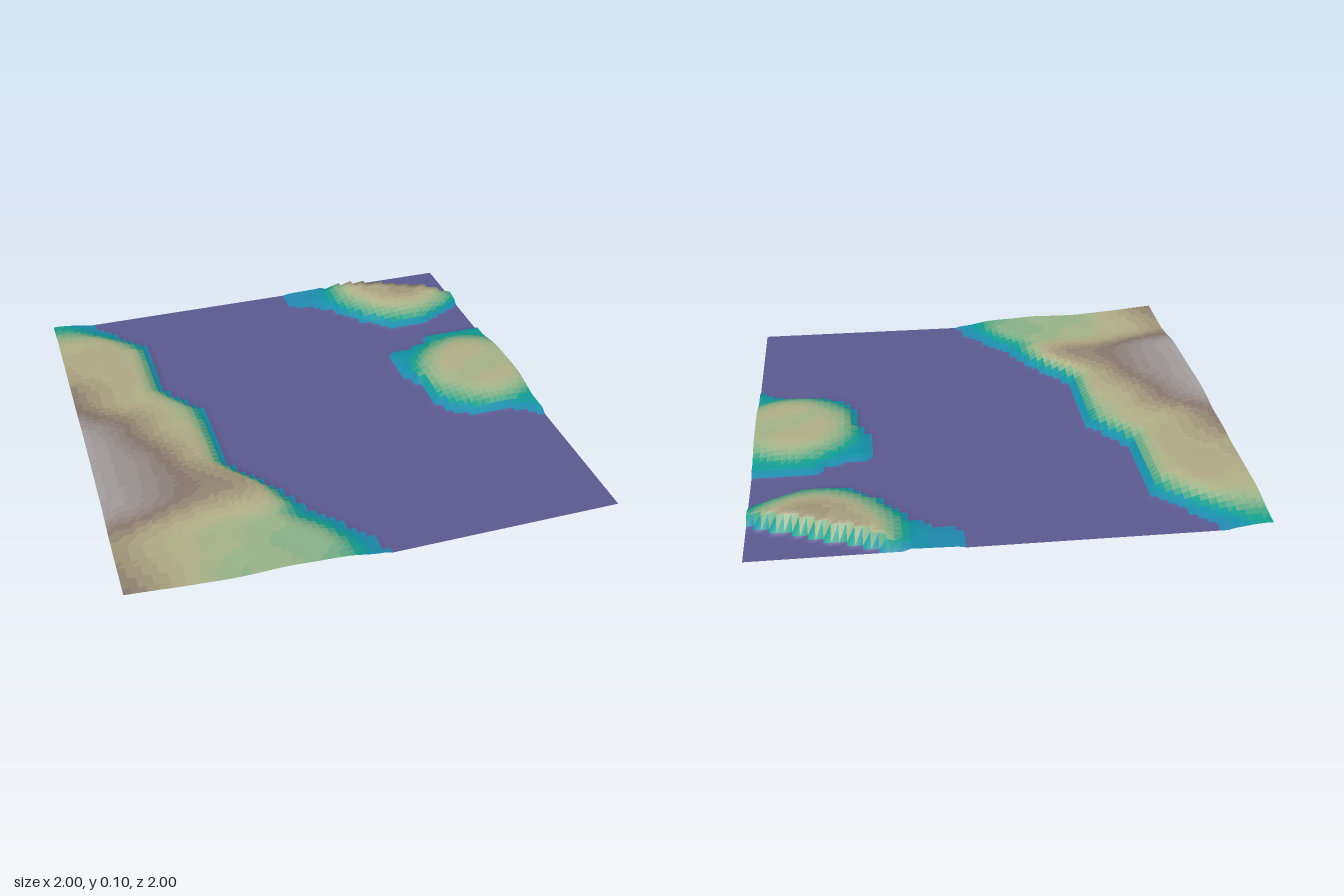
import * as THREE from 'three';

const CELLS = 68;
const { clamp, smoothstep, lerp } = THREE.MathUtils;

// Coast of the western mainland as [z, x]
const COAST = [[-1, -0.83], [-0.9, -0.77], [-0.8, -0.69], [-0.7, -0.59], [-0.3, -0.59],
  [-0.24, -0.55], [-0.12, -0.46], [0, -0.45], [0.3, -0.45], [0.38, -0.4], [0.5, -0.3],
  [0.6, -0.25], [0.7, -0.2], [0.8, -0.11], [0.9, -0.03], [1, 0.01]];

// Mainland relief in hundredths: rows z = -1..1 by 0.25, columns x = -1..0 by 0.2
const RELIEF = [
  [2.2, 2.0, 3.0, 3, 3, 3],
  [5.5, 5.5, 4.5, 4, 4, 3],
  [6.4, 6.0, 5.0, 4, 4, 3],
  [7.4, 5.9, 5.0, 4, 4, 3],
  [9.6, 7.2, 5.4, 4.8, 4, 3],
  [9.7, 8.8, 6.2, 5.2, 4, 3],
  [9.4, 8.5, 7.3, 6.4, 4.2, 3],
  [6.6, 5.6, 4.8, 4.6, 4.1, 3],
  [7.8, 5.8, 4.6, 4.4, 3.8, 2.4]];

// Islands: outline as [x, z], dome centre, height and radii of plateau and foot
const ISLANDS = [
  { outline: [[1.1, -0.41], [0.75, -0.41], [0.69, -0.33], [0.53, -0.31], [0.5, -0.15], [0.56, -0.05],
      [0.56, 0.06], [0.63, 0.21], [0.75, 0.25], [0.9, 0.26], [1.1, 0.42]],
    x: 0.84, z: -0.05, height: 0.053, inner: 0.14, outer: 0.42 },
  { outline: [[0.18, -1.1], [0.18, -0.89], [0.3, -0.87], [0.4, -0.78], [0.49, -0.65], [0.6, -0.56],
      [0.7, -0.54], [0.8, -0.55], [0.9, -0.6], [1.1, -0.7]],
    x: 0.74, z: -0.9, height: 0.066, inner: 0.14, outer: 0.47 },
];

// Land colours by height
const RAMP = [[0.004, 0x2487b0], [0.015, 0x0f93a6], [0.025, 0x17a187], [0.038, 0x7cb088],
  [0.046, 0x9cb58a], [0.056, 0xb5b089], [0.066, 0xa39a7c], [0.075, 0x87776c], [0.09, 0x9d9594], [0.1, 0xaaa5a6]];
const BANDS = 24, TOP = 0.104;

function ramp(stops, t, mix) {
  let i = 0;
  while (i < stops.length - 2 && t > stops[i + 1][0]) i++;
  const [a, b] = [stops[i], stops[i + 1]];
  return mix(a[1], b[1], clamp((t - a[0]) / (b[0] - a[0]), 0, 1));
}

const mixColor = (a, b, t) => new THREE.Color(a).lerp(new THREE.Color(b), t);

const ripple = (x, z) => 0.0014 * Math.sin(13 * x + 5 * z + 2 * Math.sin(7 * z))
  + 0.0012 * Math.sin(17 * z - 9 * x + 2 * Math.sin(8 * x));

function inside(outline, x, z) {
  let hit = false;
  outline.forEach(([ax, az], i) => {
    const [bx, bz] = outline[(i + 1) % outline.length];
    if ((az > z) !== (bz > z) && x < ax + (bx - ax) * (z - az) / (bz - az)) hit = !hit;
  });
  return hit;
}

function mainlandHeight(x, z) {
  const shore = ramp(COAST, z, lerp) - x;
  if (shore <= 0) return 0;
  const row = (z + 1) * 4, col = clamp((x + 1) * 5, 0, 5);
  const r = Math.min(Math.floor(row), 7), c = Math.min(Math.floor(col), 4);
  const u = smoothstep(row - r, 0, 1), v = col - c;
  const h = lerp(lerp(RELIEF[r][c], RELIEF[r][c + 1], v), lerp(RELIEF[r + 1][c], RELIEF[r + 1][c + 1], v), u) / 100;
  // Cliffs in the middle, a softer beach at both ends
  const beach = Math.abs(z) > 0.65 ? 0.16 : 0.09;
  return h * (0.35 + 0.65 * smoothstep(shore, 0, beach)) + ripple(x, z) * smoothstep(shore, 0, 0.1);
}

function islandHeight(island, x, z) {
  if (!inside(island.outline, x, z)) return 0;
  const d = Math.hypot(x - island.x, z - island.z);
  const dome = island.height * (1 - smoothstep(d, island.inner, island.outer));
  return Math.max(0.006 + 0.012 * clamp((x - 0.2) / 0.5, 0, 1), dome + ripple(x, z));
}

const height = (x, z) => Math.max(0, mainlandHeight(x, z), ...ISLANDS.map((i) => islandHeight(i, x, z)));

export function createModel() {
  const group = new THREE.Group();
  group.name = 'coastalTerrain';

  // One height grid gives smooth normals across all colour bands
  const grid = new THREE.PlaneGeometry(2, 2, CELLS, CELLS).rotateX(-Math.PI / 2);
  const pos = grid.attributes.position;
  for (let i = 0; i < pos.count; i++) pos.setY(i, height(pos.getX(i), pos.getZ(i)));
  grid.computeVertexNormals();
  const normal = grid.attributes.normal;

  // Sort the triangles into water and land bands by mean height
  const bands = Array.from({ length: BANDS + 1 }, () => ({ position: [], normal: [] }));
  const index = grid.index.array;
  for (let i = 0; i < index.length; i += 3) {
    const corners = [index[i], index[i + 1], index[i + 2]];
    const mean = corners.reduce((sum, k) => sum + pos.getY(k), 0) / 3;
    const band = bands[mean < 1e-5 ? 0 : 1 + Math.min(BANDS - 1, Math.floor(mean / TOP * BANDS))];
    for (const k of corners) {
      band.position.push(pos.getX(k), pos.getY(k), pos.getZ(k));
      band.normal.push(normal.getX(k), normal.getY(k), normal.getZ(k));
    }
  }

  bands.forEach((band, i) => {
    if (!band.position.length) return;
    const geometry = new THREE.BufferGeometry();
    for (const key of ['position', 'normal']) {
      geometry.setAttribute(key, new THREE.Float32BufferAttribute(band[key], 3));
    }
    const color = i === 0 ? new THREE.Color(0x5c5a92) : ramp(RAMP, (i - 0.5) * TOP / BANDS, mixColor);
    const mesh = new THREE.Mesh(geometry, new THREE.MeshStandardMaterial({ color, side: THREE.DoubleSide }));
    mesh.name = i === 0 ? 'water' : `landBand${i}`;
    group.add(mesh);
  });
  return group;
}
